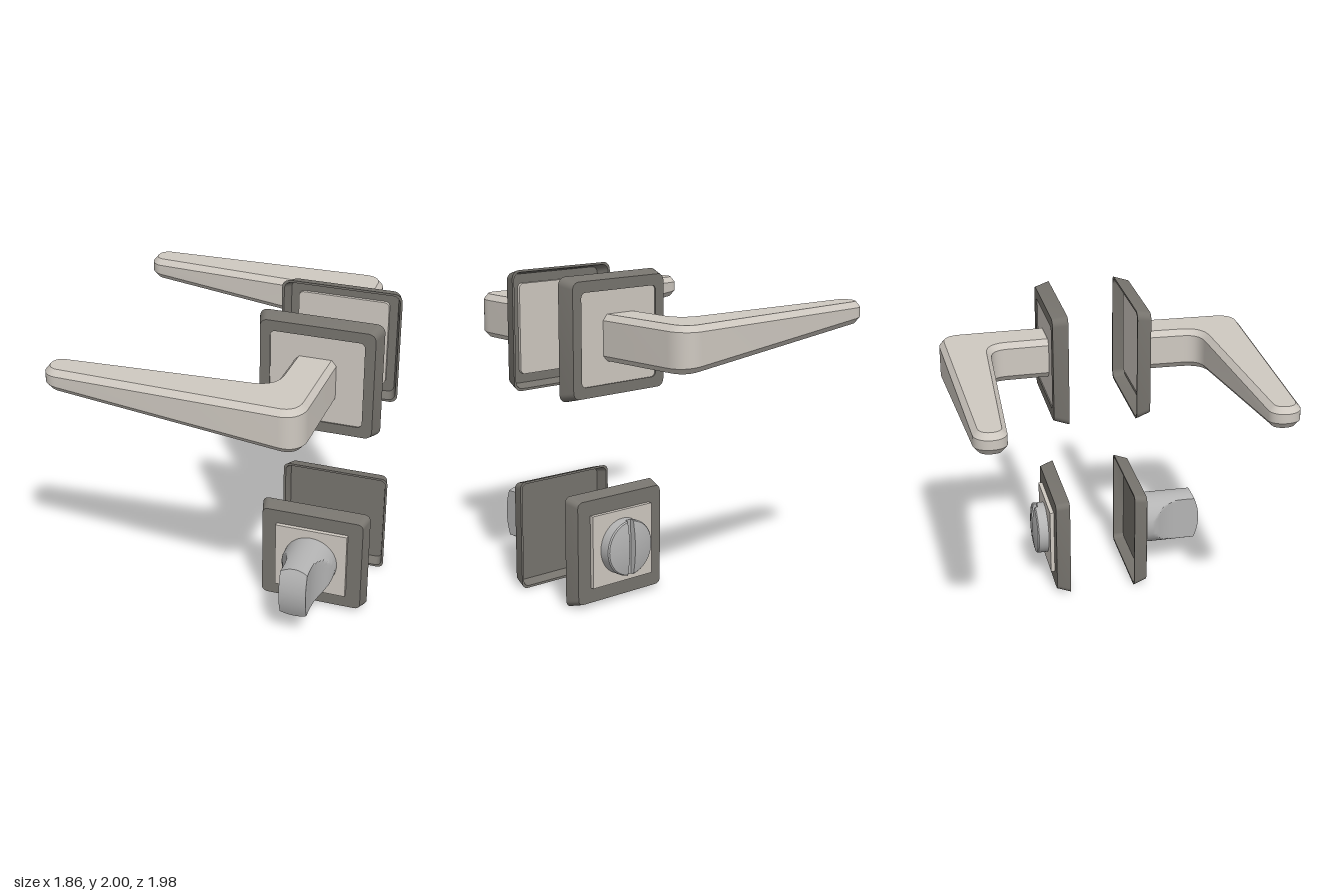
import * as THREE from 'three';
import { toCreasedNormals } from 'three/addons/utils/BufferGeometryUtils.js';

const lightMetal = new THREE.MeshStandardMaterial({ color: 0xcfc9c1 });
const darkMetal = new THREE.MeshStandardMaterial({ color: 0x77746e });
const greyMetal = new THREE.MeshStandardMaterial({ color: 0xb4b4b4 });

function part(name, geometry, material, crease = 0.5) {
  const mesh = new THREE.Mesh(toCreasedNormals(geometry, crease), material);
  mesh.name = name;
  return mesh;
}

// Moves every vertex by a rule
function reshape(geometry, rule) {
  const p = geometry.attributes.position;
  const v = new THREE.Vector3();
  for (let i = 0; i < p.count; i++) {
    rule(v.fromBufferAttribute(p, i));
    p.setXYZ(i, v.x, v.y, v.z);
  }
  return geometry;
}

// Joins rounded rectangles [half width, half height, corner radius, z] into one skin
function loftRects(rects, closed) {
  const pos = [], index = [], steps = 6, n = 4 * (steps + 1);
  for (const [w, h, r, z] of rects) {
    for (let c = 0; c < 4; c++) {
      const sx = c === 0 || c === 3 ? 1 : -1, sy = c < 2 ? 1 : -1;
      for (let k = 0; k <= steps; k++) {
        const a = (c + k / steps) * Math.PI / 2;
        pos.push(sx * (w - r) + r * Math.cos(a), sy * (h - r) + r * Math.sin(a), z);
      }
    }
  }
  const bands = closed ? rects.length : rects.length - 1;
  for (let i = 0; i < bands; i++) {
    const i2 = (i + 1) % rects.length;
    for (let j = 0; j < n; j++) {
      const j2 = (j + 1) % n;
      const a = i * n + j, b = i * n + j2, c = i2 * n + j2, d = i2 * n + j;
      index.push(a, b, c, a, c, d);
    }
  }
  const g = new THREE.BufferGeometry();
  g.setAttribute('position', new THREE.Float32BufferAttribute(pos, 3));
  g.setIndex(index);
  return g;
}

// Turned solid along z from [radius, z] points
function turned(points) {
  return new THREE.LatheGeometry(points.map(([r, z]) => new THREE.Vector2(r, z)), 72)
    .rotateX(Math.PI / 2);
}

// Lever: chamfered plan outline, underside rising towards the tip
function lever(side) {
  const s = new THREE.Shape();
  const f = -side;
  s.moveTo(0.667, f * 0.28);
  s.lineTo(0.657, f * 0.85);
  s.bezierCurveTo(0.655, f * 0.94, 0.6, f * 0.995, 0.52, f * 0.992);
  s.lineTo(-0.84, f * 0.953);
  s.bezierCurveTo(-0.96, f * 0.945, -0.96, f * 0.775, -0.86, f * 0.758);
  s.lineTo(0.28, f * 0.692);
  s.bezierCurveTo(0.36, f * 0.685, 0.4, f * 0.65, 0.402, f * 0.57);
  s.lineTo(0.41, f * 0.28);
  const bevel = 0.036;
  const g = new THREE.ExtrudeGeometry(s, {
    depth: 1, curveSegments: 14, bevelSegments: 1,
    bevelThickness: bevel, bevelSize: 0.03, bevelOffset: -0.03,
  }).rotateX(-Math.PI / 2);
  reshape(g, (v) => {
    const under = 1.64 - 0.095 * (v.x + 0.93);
    v.y = v.y < 0.5 ? under + bevel + v.y : 1.77 - bevel + (v.y - 1);
  });
  return part('lever', g, lightMetal);
}

// Upper rose: hollow square frame with an inset plate
function handleRose() {
  const g = new THREE.Group();
  g.add(part('roseFrame', loftRects([
    [0.38, 0.368, 0.05, 0.22],
    [0.35, 0.344, 0.045, 0.315],
    [0.287, 0.278, 0.03, 0.315],
    [0.287, 0.278, 0.03, 0.295],
    [0.34, 0.334, 0.04, 0.295],
    [0.366, 0.354, 0.045, 0.22],
  ], true), darkMetal));
  g.add(part('rosePlate', loftRects([
    [0, 0, 0, 0.275],
    [0.287, 0.278, 0.03, 0.275],
    [0.287, 0.278, 0.03, 0.307],
    [0, 0, 0, 0.307],
  ]), lightMetal));
  return g;
}

// Lower rose: hollow square cap with a raised plate
function lockRose() {
  const g = new THREE.Group();
  g.add(part('lockRoseCap', loftRects([
    [0, 0, 0, 0.29],
    [0.32, 0.31, 0.03, 0.29],
    [0.337, 0.33, 0.035, 0.22],
    [0.351, 0.344, 0.04, 0.22],
    [0.327, 0.319, 0.035, 0.31],
    [0, 0, 0, 0.31],
  ]), darkMetal));
  const plate = new THREE.BoxGeometry(0.465, 0.45, 0.036).translate(0, 0, 0.318);
  g.add(part('lockPlate', plate, lightMetal));
  return g;
}

// Thumb turn: cylinder scooped on both sides to a narrow grip with a bowed end
function thumbTurn() {
  const R = 0.173, END = 0.735;
  const scoop = [[0.39, R], [0.43, 0.153], [0.47, 0.125], [0.51, 0.105],
    [0.55, 0.092], [0.6, 0.084], [0.65, 0.084], [END, 0.086]];
  const halfWidth = (z) => {
    for (let i = 1; i < scoop.length; i++) {
      const [z0, h0] = scoop[i - 1], [z1, h1] = scoop[i];
      if (z <= z1) return z < z0 ? R : h0 + (h1 - h0) * (z - z0) / (z1 - z0);
    }
    return 0.086;
  };
  const profile = [[R, 0.32]];
  for (let z = 0.39; z < 0.66; z += 0.02) profile.push([R, z]);
  for (const k of [1, 0.85, 0.65, 0.45, 0.25, 0]) profile.push([R * k, END]);
  const g = reshape(turned(profile), (v) => {
    const h = halfWidth(v.z);
    v.x = THREE.MathUtils.clamp(v.x, -h, h);
    if (v.z > END - 0.001) v.z = END - 0.042 * (v.y / R) ** 2;
  });
  return part('thumbTurn', g, greyMetal);
}

// Emergency release: domed disc split by a slot
function releaseDisc() {
  const R = 0.173, g = new THREE.Group();
  g.add(part('releaseBase', turned([[R, 0.32], [R, 0.385], [0, 0.385]]), greyMetal));
  const dome = [[R, 0.38], [R, 0.402]];
  for (const k of [0.96, 0.8, 0.6, 0.4, 0.2, 0]) dome.push([R * k, 0.428 - 0.02 * k * k]);
  for (const side of [-1, 1]) {
    const half = reshape(turned(dome), (v) => { v.x = side * Math.max(side * v.x, 0.022); });
    g.add(part('releaseHalf', half, greyMetal));
  }
  return g;
}

export function createModel() {
  const model = new THREE.Group();
  model.name = 'doorHandleSet';
  for (const side of [1, -1]) {
    const label = side > 0 ? 'front' : 'back';
    const place = (name, group, y) => {
      group.name = label + name;
      group.position.set(0.549, y, 0);
      group.rotation.y = side > 0 ? 0 : Math.PI;
      model.add(group);
    };
    const arm = lever(side);
    arm.name = label + 'Lever';
    model.add(arm);
    place('HandleRose', handleRose(), 1.632);
    const lock = lockRose();
    lock.add(side > 0 ? thumbTurn() : releaseDisc());
    place('LockRose', lock, 0.346);
  }
  return model;
}
